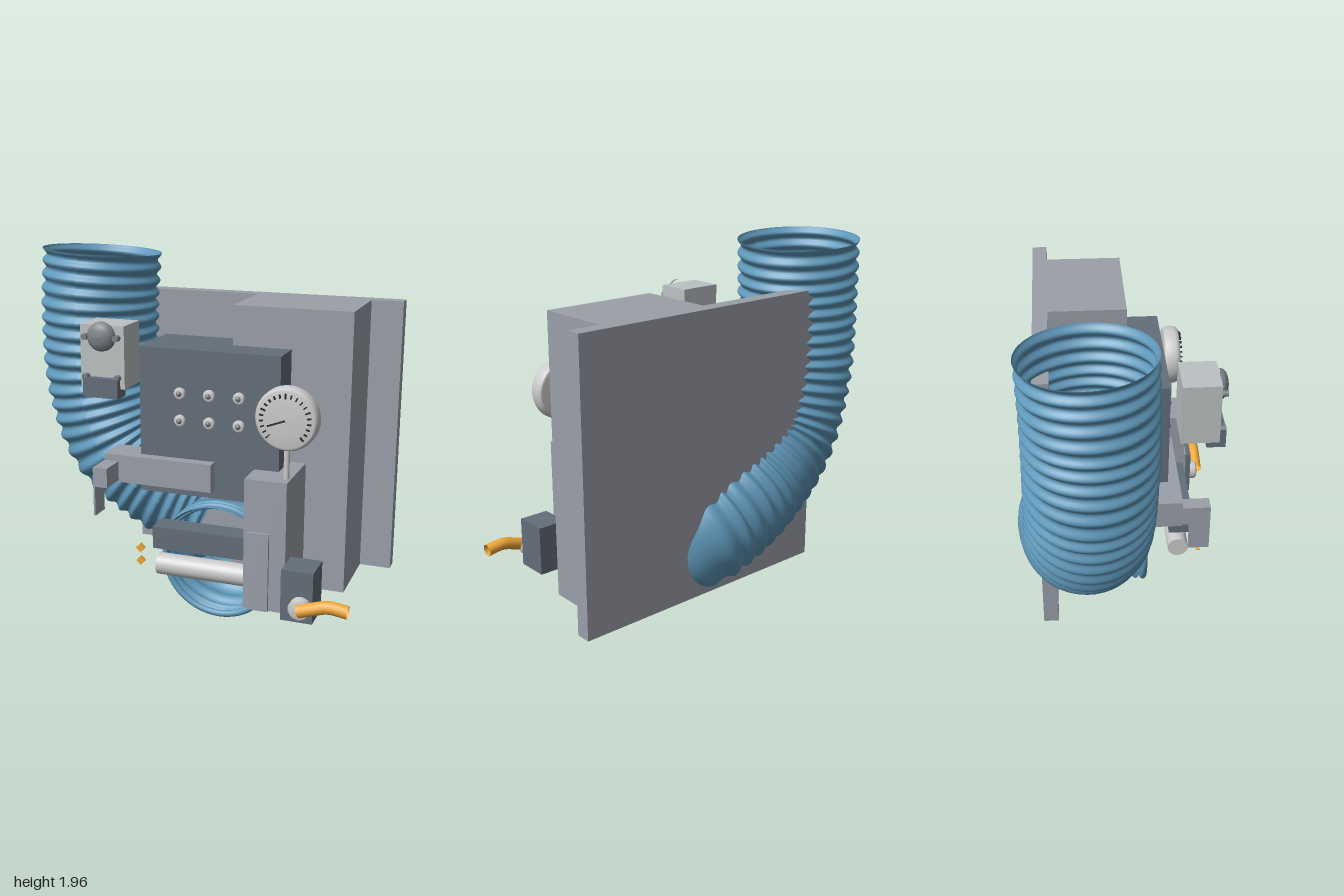
import * as THREE from 'three';

const mat = (color) => new THREE.MeshStandardMaterial({ color });
const GREY = mat(0x9a9fa9), DARK = mat(0x646e7a), PALE = mat(0xbcc2c4), STEEL = mat(0xcccccc);
const BOLT = mat(0x7d838a), BLACK = mat(0x2a2c2e), GOLD = mat(0xf0a93a), HOSE = mat(0x5f98ba);
GOLD.side = HOSE.side = THREE.DoubleSide;

const V = (x, y, z) => new THREE.Vector3(x, y, z);

export function createModel() {
  const model = new THREE.Group();

  const add = (name, geometry, material, x = 0, y = 0, z = 0, parent = model) => {
    const mesh = new THREE.Mesh(geometry, material);
    mesh.name = name;
    mesh.position.set(x, y, z);
    parent.add(mesh);
    return mesh;
  };
  // Box given by its extents on each axis
  const box = (name, material, [x0, x1], [y0, y1], [z0, z1]) =>
    add(name, new THREE.BoxGeometry(x1 - x0, y1 - y0, z1 - z0), material,
      (x0 + x1) / 2, (y0 + y1) / 2, (z0 + z1) / 2);
  // Turned part whose axis points along +z; profile holds [radius, z] pairs
  const turned = (name, material, profile, x, y, z, parent) => {
    const points = profile.map(([r, h]) => new THREE.Vector2(r, h));
    const geometry = new THREE.LatheGeometry(points, 40).rotateX(Math.PI / 2);
    return add(name, geometry, material, x, y, z, parent);
  };

  // Housing
  box('backPlate', GREY, [-0.51, 1], [0.22, 1.72], [-0.44, -0.36]);
  box('mainBlock', GREY, [0.2, 0.83], [0.22, 1.72], [-0.36, 0.05]);
  box('controlBox', DARK, [-0.245, 0.515], [0.73, 1.51], [-0.13, 0.24]);
  box('column', GREY, [0.385, 0.605], [0.22, 0.915], [0.05, 0.405]);
  box('columnPlate', GREY, [0.41, 0.52], [0.22, 0.64], [0.405, 0.42]);

  // Side arm with its hanging tab
  box('arm', GREY, [-0.43, 0.17], [0.78, 0.93], [0.115, 0.3]);
  box('armBracket', GREY, [-0.43, -0.35], [0.79, 0.895], [0.3, 0.445]);
  box('armTab', GREY, [-0.43, -0.42], [0.63, 0.79], [0.335, 0.445]);

  // Bar and roller in front of the hose mouth
  box('crossBar', DARK, [-0.115, 0.41], [0.475, 0.595], [0.27, 0.4]);
  add('roller', new THREE.CylinderGeometry(0.058, 0.058, 0.5, 32).rotateZ(Math.PI / 2),
    STEEL, 0.14, 0.362, 0.325);
  for (const y of [0.48, 0.41]) {
    add('contact', new THREE.BoxGeometry(0.035, 0.035, 0.018).rotateZ(Math.PI / 4),
      GOLD, -0.17, y, 0.43);
  }

  // Control buttons
  for (const x of [-0.02, 0.14, 0.3]) {
    for (const y of [1.28, 1.135]) {
      turned('button', STEEL, [[0.031, 0], [0.031, 0.012], [0.024, 0.02], [0, 0.02]], x, y, 0.24);
      add('buttonTip', new THREE.SphereGeometry(0.015, 16, 12), BOLT, x, y, 0.258);
    }
  }

  // Dial gauge on its stem
  const gauge = new THREE.Group();
  gauge.name = 'gauge';
  gauge.position.set(0.58, 1.225, 0.28);
  model.add(gauge);
  turned('gaugeBody', STEEL, [[0, 0], [0.145, 0], [0.155, 0.008], [0.162, 0.025], [0.162, 0.065],
    [0.155, 0.082], [0.145, 0.09], [0.08, 0.094], [0, 0.096]], 0, 0, 0, gauge);
  for (let i = 0; i <= 20; i++) {
    const a = (-45 + i * 13.5) * Math.PI / 180;
    const tick = add('gaugeTick', new THREE.BoxGeometry(i % 5 ? 0.018 : 0.026, 0.006, 0.014),
      BLACK, 0.122 * Math.cos(a), 0.122 * Math.sin(a), 0.097, gauge);
    tick.rotation.z = a;
  }
  const needle = add('gaugeNeedle', new THREE.BoxGeometry(0.095, 0.008, 0.008),
    BLACK, -0.045, -0.018, 0.1, gauge);
  needle.rotation.z = 0.36;
  add('gaugeStem', new THREE.CylinderGeometry(0.015, 0.015, 0.18, 20), STEEL, 0.58, 0.995, 0.327);

  // Valve box with knob and bent handle
  box('valveBox', DARK, [0.605, 0.77], [0.22, 0.49], [0.298, 0.478]);
  turned('valveKnob', STEEL, [[0.056, 0], [0.056, 0.04], [0.045, 0.05], [0, 0.052]], 0.71, 0.305, 0.478);
  const lever = new THREE.CatmullRomCurve3([
    V(0.71, 0.305, 0.53), V(0.78, 0.328, 0.53), V(0.86, 0.35, 0.53), V(0.96, 0.34, 0.53)]);
  add('valveHandle', new THREE.TubeGeometry(lever, 24, 0.033, 16), GOLD);

  // Sensor box with dome, bracket and bolts
  box('sensorBox', PALE, [-0.47, -0.23], [1.33, 1.65], [0.27, 0.46]);
  turned('sensorDome', BOLT, [[0.075, 0], [0.073, 0.018], [0.055, 0.034], [0.03, 0.042], [0, 0.045]],
    -0.35, 1.593, 0.46);
  box('sensorBracket', DARK, [-0.445, -0.255], [1.285, 1.385], [0.4, 0.495]);
  for (const x of [-0.436, -0.264]) {
    for (const y of [1.59, 1.388]) {
      add('sensorBolt', new THREE.CylinderGeometry(0.016, 0.016, 0.035, 16).rotateX(Math.PI / 2),
        BOLT, x, y, 0.476);
    }
  }

  // Corrugated hose: a tube whose radius ripples along its length
  const path = new THREE.CatmullRomCurve3([
    V(-0.645, 1.945, -0.188), V(-0.662, 1.6, -0.177), V(-0.642, 1.2, -0.18), V(-0.53, 0.88, -0.19),
    V(-0.3, 0.68, -0.22), V(-0.02, 0.545, -0.24), V(0.15, 0.46, -0.2),
    V(0.16, 0.37, -0.02), V(0.157, 0.338, 0.14)]);
  const hose = new THREE.TubeGeometry(path, 310, 0.318, 48);
  const { position, normal, uv } = hose.attributes;
  for (let i = 0; i < position.count; i++) {
    const ripple = 0.011 * Math.cos(uv.getX(i) * 31 * 2 * Math.PI);
    position.setXYZ(i,
      position.getX(i) + normal.getX(i) * ripple,
      position.getY(i) + normal.getY(i) * ripple,
      position.getZ(i) + normal.getZ(i) * ripple);
  }
  hose.computeVertexNormals();
  add('hose', hose, HOSE);
  add('hoseRim', new THREE.TorusGeometry(0.312, 0.018, 16, 64), HOSE, 0.157, 0.338, 0.132);

  return model;
}
